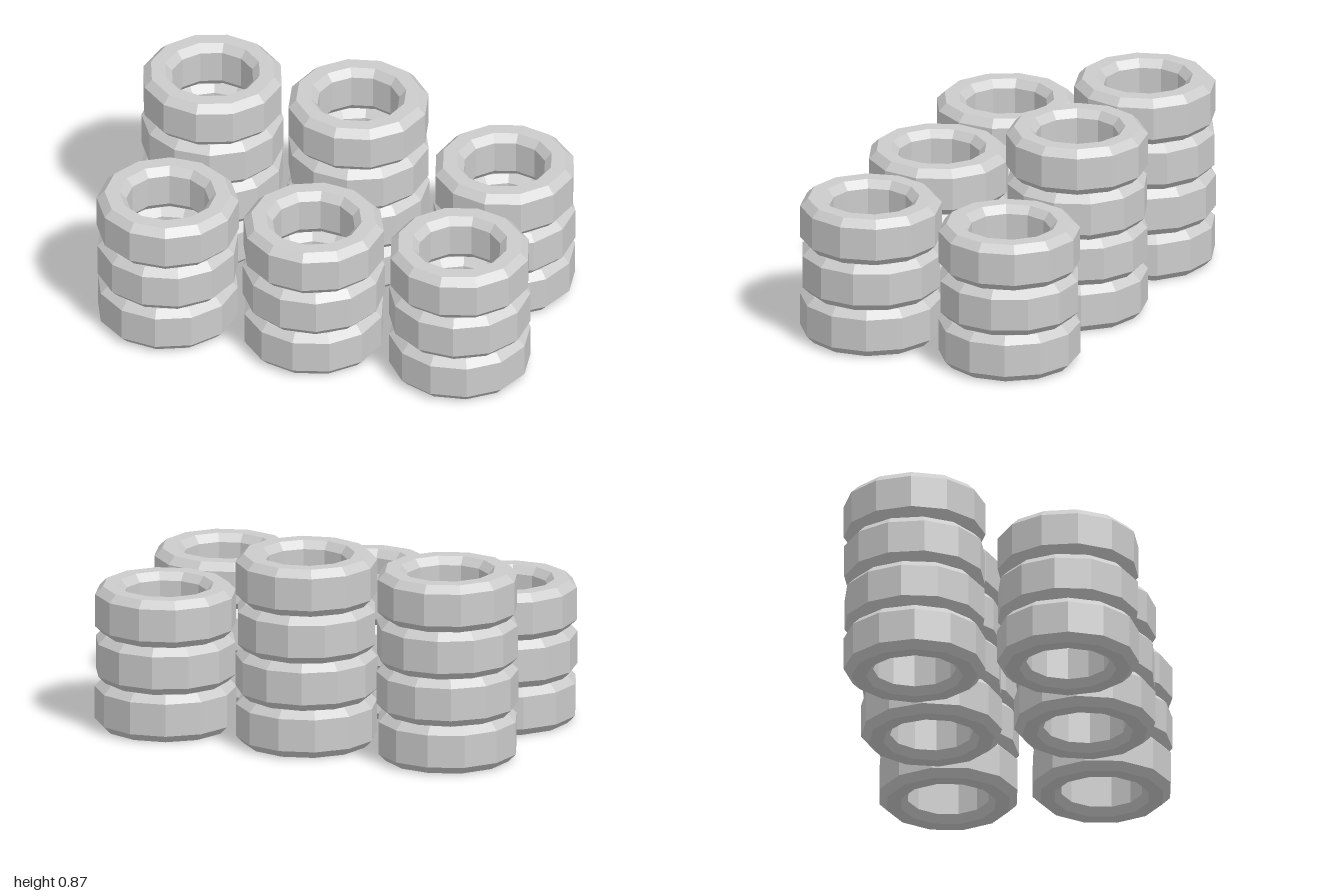
import * as THREE from 'three';

const SIDES = 12;
const TYRE_HEIGHT = 0.2185;
const deg = THREE.MathUtils.degToRad;

// Closed tyre cross-section, bevelled on all four corners (radius, height)
function tyreGeometry() {
  const h = TYRE_HEIGHT, bevel = 0.035;
  const profile = [
    [0.217, 0], [0.283, 0], [0.318, bevel], [0.318, h - bevel],
    [0.283, h], [0.217, h], [0.186, h - bevel], [0.186, bevel], [0.217, 0],
  ].map(([r, y]) => new THREE.Vector2(r, y));
  return new THREE.LatheGeometry(profile, SIDES);
}

export function createModel() {
  const model = new THREE.Group();
  model.name = 'tyreStacks';
  const geometry = tyreGeometry();
  const material = new THREE.MeshStandardMaterial({ color: 0xcccccc, flatShading: true });

  // Stack heights per row, from -x to +x
  const rows = [
    { name: 'back', z: -0.345, counts: [4, 4, 3] },
    { name: 'front', z: 0.345, counts: [3, 3, 3] },
  ];
  const columns = ['Right', 'Middle', 'Left'];

  for (const row of rows) {
    row.counts.forEach((count, column) => {
      const stack = new THREE.Group();
      stack.name = `${row.name}${columns[column]}Stack`;
      stack.position.set((column - 1) * 0.682, 0, row.z);

      // Each tyre is turned a little against the one below
      for (let tier = 0; tier < count; tier++) {
        const tyre = new THREE.Mesh(geometry, material);
        tyre.name = `tyre${tier + 1}`;
        tyre.position.y = tier * TYRE_HEIGHT;
        tyre.rotation.y = deg(22.5 - 11 * tier + 7 * (2 - column));
        stack.add(tyre);
      }
      model.add(stack);
    });
  }
  return model;
}
